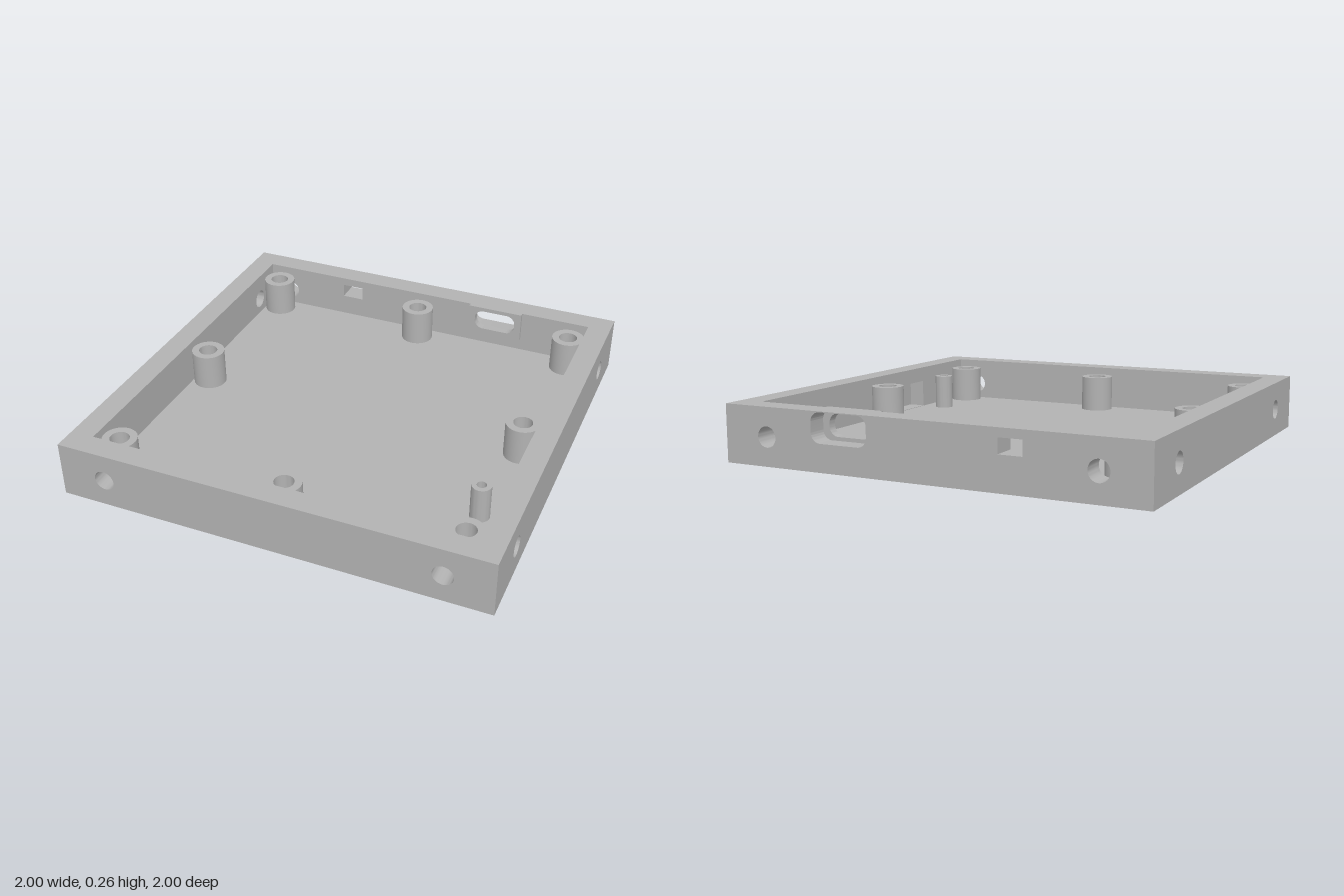
import * as THREE from 'three';
import { toCreasedNormals } from 'three/addons/utils/BufferGeometryUtils.js';

const H = 0.265, FLOOR = 0.053, INNER = 0.89, MID_Y = 0.132;

// Closed outline of a rectangle with optional rounded corners
function rect(x0, x1, y0, y1, r = 0, Kind = THREE.Path) {
  const p = new Kind();
  if (!r) {
    p.moveTo(x0, y0).lineTo(x1, y0).lineTo(x1, y1).lineTo(x0, y1).lineTo(x0, y0);
    return p;
  }
  p.moveTo(x0 + r, y0);
  p.lineTo(x1 - r, y0).absarc(x1 - r, y0 + r, r, -Math.PI / 2, 0);
  p.lineTo(x1, y1 - r).absarc(x1 - r, y1 - r, r, 0, Math.PI / 2);
  p.lineTo(x0 + r, y1).absarc(x0 + r, y1 - r, r, Math.PI / 2, Math.PI);
  p.lineTo(x0, y0 + r).absarc(x0 + r, y0 + r, r, Math.PI, Math.PI * 1.5);
  return p;
}

function circle(x, y, r, Kind = THREE.Path) {
  return new Kind().absarc(x, y, r, 0, Math.PI * 2);
}

// Solid plate of a given depth with holes cut through it
function plate(shape, holes, depth) {
  shape.holes.push(...holes);
  const geo = new THREE.ExtrudeGeometry(shape, { depth, bevelEnabled: false, curveSegments: 20 });
  return toCreasedNormals(geo, 0.6);
}

export function createModel() {
  const group = new THREE.Group();
  const grey = new THREE.MeshStandardMaterial({ color: 0xb2b2b2 });
  grey.name = 'casing grey';

  const add = (name, geo) => {
    const mesh = new THREE.Mesh(geo, grey);
    mesh.name = name;
    group.add(mesh);
    return mesh;
  };
  const screwHoles = (d) => [-d, d].map((u) => circle(u, MID_Y, 0.047));
  const wallShape = (half) => rect(-half, half, FLOOR, H, 0, THREE.Shape);

  // Wall layer across x, between z0 and z1
  const crossWall = (name, z0, z1, holes, shape = wallShape(1)) =>
    add(name, plate(shape, holes, z1 - z0).translate(0, 0, z0));
  // Wall layer along z, between x0 and x1
  const sideWall = (name, x0, x1, holes) =>
    add(name, plate(wallShape(INNER), holes, x1 - x0).rotateY(-Math.PI / 2).translate(x1, 0, 0));
  // Upright part drawn in plan
  const upright = (name, shape, holes, y0, y1) =>
    add(name, plate(shape, holes, y1 - y0).rotateX(-Math.PI / 2).translate(0, y0, 0));

  // Floor with the small pin hole
  const pin = { x: 0.775, z: 0.5 };
  upright('floor', rect(-1, 1, -1, 1, 0, THREE.Shape), [circle(pin.x, -pin.z, 0.022)], 0, FLOOR);

  // Front and right-hand walls
  crossWall('frontWall', INNER, 1, screwHoles(0.78));
  sideWall('rightWall', -1, -INNER, screwHoles(0.72));

  // Left wall, with a pocket sunk into its inner face
  sideWall('leftWallInner', INNER, 0.97,
    [...screwHoles(0.72), rect(0.15, 0.47, FLOOR + 0.002, 0.19)]);
  sideWall('leftWallOuter', 0.97, 1, screwHoles(0.72));

  // Back wall: recessed socket opening and a small square window
  const square = () => rect(-0.46, -0.35, 0.157, 0.225);
  const slot = () => rect(0.298, 0.512, 0.143, 0.245, 0.045);
  crossWall('backWallOuter', -1, -0.91,
    [...screwHoles(0.78), square(), rect(0.265, 0.545, 0.126, 0.261, 0.045)]);
  crossWall('backWallInner', -0.91, -INNER, [...screwHoles(0.78), square(), slot()]);
  crossWall('socketPlate', -INNER, -0.87, [slot()], rect(0.265, 0.545, 0.118, H, 0, THREE.Shape));

  // Screw posts around the edge
  for (const x of [-0.81, 0, 0.81]) {
    for (const z of [-0.81, 0, 0.81]) {
      if (x === 0 && z === 0) continue;
      upright('screwPost', circle(x, -z, 0.08, THREE.Shape), [circle(x, -z, 0.045)], FLOOR, 0.228);
    }
  }

  // Small hollow pin post
  upright('pinPost', circle(pin.x, -pin.z, 0.045, THREE.Shape),
    [circle(pin.x, -pin.z, 0.022)], FLOOR, 0.222);

  return group;
}
